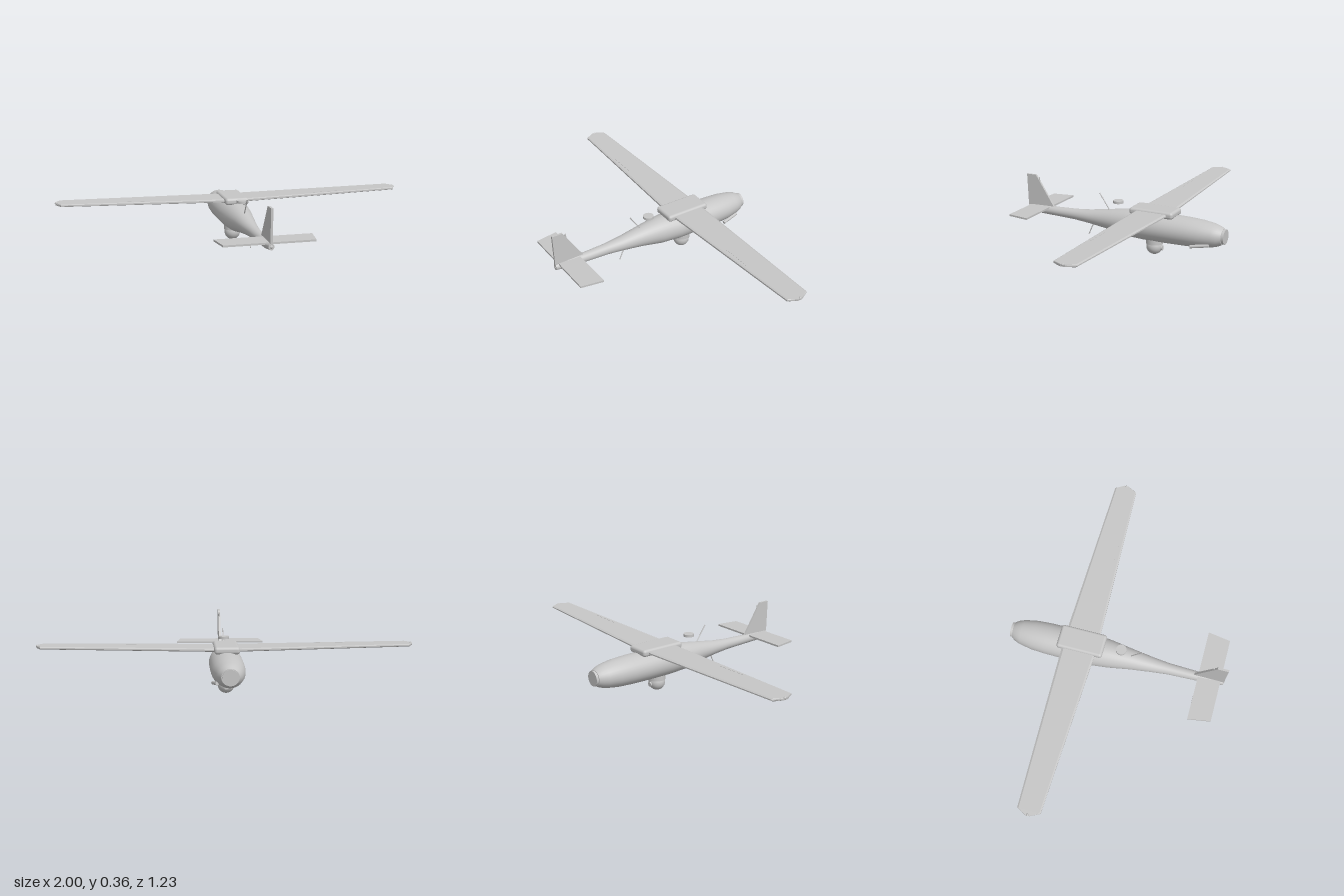
import * as THREE from 'three';
import { RoundedBoxGeometry } from 'three/addons/geometries/RoundedBoxGeometry.js';

const grey = new THREE.MeshStandardMaterial({ color: 0xc6c6c6 });
grey.name = 'airframe grey';

// Skin a list of rings [[x,y,z],...] and close both ends
function loft(rings, smooth) {
  const n = rings[0].length, pos = rings.flat(2), idx = [];
  for (let i = 0; i < rings.length - 1; i++) {
    for (let j = 0; j < n; j++) {
      const k = (j + 1) % n, a = i * n + j, b = i * n + k;
      idx.push(a, b, a + n, b, b + n, a + n);
    }
  }
  // End caps have their own vertices so that their edges stay sharp
  [rings[0], rings[rings.length - 1]].forEach((ring, end) => {
    const base = pos.length / 3;
    pos.push(...ring.flat());
    for (let j = 1; j < n - 1; j++) {
      if (end) idx.push(base, base + j, base + j + 1);
      else idx.push(base, base + j + 1, base + j);
    }
  });
  let g = new THREE.BufferGeometry();
  g.setAttribute('position', new THREE.Float32BufferAttribute(pos, 3));
  g.setIndex(idx);
  if (!smooth) g = g.toNonIndexed();
  g.computeVertexNormals();
  return g;
}

// Flat plate from an outline, centred on its thickness
function plate(points, thickness) {
  const shape = new THREE.Shape(points.map(p => new THREE.Vector2(...p)));
  return new THREE.ExtrudeGeometry(shape, { depth: thickness, bevelEnabled: false })
    .translate(0, 0, -thickness / 2);
}

// Round rod between two points
function rod(a, b, r) {
  const path = new THREE.LineCurve3(new THREE.Vector3(...a), new THREE.Vector3(...b));
  const mid = path.getPoint(0.5), dir = path.getTangent(0);
  const g = new THREE.CylinderGeometry(r, r, path.getLength(), 12);
  g.applyQuaternion(new THREE.Quaternion().setFromUnitVectors(new THREE.Vector3(0, 1, 0), dir));
  return g.translate(mid.x, mid.y, mid.z);
}

export function createModel() {
  const model = new THREE.Group();
  model.name = 'surveyAircraft';
  const add = (name, geometry, x = 0, y = 0, z = 0) => {
    const m = new THREE.Mesh(geometry, grey);
    m.name = name;
    m.position.set(x, y, z);
    model.add(m);
    return m;
  };

  // Fuselage: z, centre height, half width, half height (nose at -z)
  const stations = [
    [-0.602, 0.159, 0.046, 0.043], [-0.58, 0.159, 0.06, 0.055], [-0.55, 0.159, 0.071, 0.064],
    [-0.48, 0.159, 0.084, 0.074], [-0.4, 0.159, 0.089, 0.078], [-0.3, 0.159, 0.09, 0.08],
    [-0.15, 0.159, 0.09, 0.08], [-0.04, 0.159, 0.077, 0.076], [0.08, 0.161, 0.058, 0.056],
    [0.2, 0.159, 0.042, 0.039], [0.29, 0.159, 0.032, 0.031], [0.4, 0.159, 0.028, 0.027],
    [0.53, 0.16, 0.023, 0.024], [0.605, 0.163, 0.015, 0.017],
  ];
  add('fuselage', loft(stations.map(([z, y, w, h]) =>
    Array.from({ length: 32 }, (_, j) => {
      const a = j / 32 * Math.PI * 2;
      return [w * Math.cos(a), y + h * Math.sin(a), z];
    })), true));
  add('noseCap', new THREE.CylinderGeometry(0.041, 0.041, 0.03, 32).rotateX(Math.PI / 2), 0, 0.159, -0.6);

  // Wing: x, leading z, trailing z, height, thickness
  const half = [[0, -0.302, -0.112, 0.245, 0.018], [0.97, -0.274, -0.148, 0.261, 0.014],
    [0.996, -0.225, -0.198, 0.262, 0.012]];
  const span = [...half.slice(1).reverse().map(([x, ...s]) => [-x, ...s]), ...half];
  const section = [[0.06, 0.5], [0.95, 0.5], [1, 0.25], [1, -0.3], [0.95, -0.5], [0.06, -0.5], [0, -0.2], [0, 0.2]];
  add('wing', loft(span.map(([x, le, te, y, t]) =>
    section.map(([c, h]) => [x, y + h * t, le + c * (te - le)])), false));
  for (const s of [-1, 1]) {
    const strip = add('aileronHinge', new THREE.BoxGeometry(0.17, 0.003, 0.003), s * 0.56, 0.2615, -0.158);
    strip.rotation.z = s * 0.0144;
    add('wingTipLight', new THREE.SphereGeometry(0.007, 12, 8), s * 0.993, 0.265, -0.212);
  }
  add('wingSaddle', new RoundedBoxGeometry(0.134, 0.038, 0.258, 4, 0.015), 0, 0.247, -0.204);

  // Tail surfaces
  add('tailplane', plate([[-0.26, 0.46], [0.26, 0.46], [0.24, 0.586], [-0.24, 0.586]], 0.01)
    .rotateX(Math.PI / 2), 0, 0.177, 0);
  add('fin', plate([[0.438, 0.184], [0.605, 0.15], [0.613, 0.36], [0.553, 0.36]], 0.012)
    .rotateY(-Math.PI / 2));
  add('finProbe', new THREE.CylinderGeometry(0.004, 0.004, 0.025, 10), 0, 0.335, 0.533);
  add('tailLight', new THREE.SphereGeometry(0.012, 16, 10), 0, 0.163, 0.597);

  // Aerials and satellite receiver disc
  add('upperAerial', rod([0, 0.216, 0.078], [0, 0.304, 0.138], 0.003));
  add('lowerAerial', rod([0, 0.12, 0.18], [0, 0.055, 0.209], 0.003));
  add('receiverDisc', new THREE.CylinderGeometry(0.029, 0.029, 0.014, 32), 0, 0.269, 0.021);

  // Camera turret under the belly
  add('turretCollar', new THREE.CylinderGeometry(0.048, 0.048, 0.03, 32), 0, 0.078, -0.202);
  add('turretBall', new THREE.SphereGeometry(0.045, 32, 20), 0, 0.046, -0.202);
  add('turretLens', new THREE.CylinderGeometry(0.013, 0.013, 0.03, 20).rotateX(Math.PI / 2), 0, 0.041, -0.237);

  // Exhaust pipe on the left side of the nose
  add('exhaustPipe', rod([0.08, 0.104, -0.445], [0.062, 0.119, -0.545], 0.009));
  return model;
}
